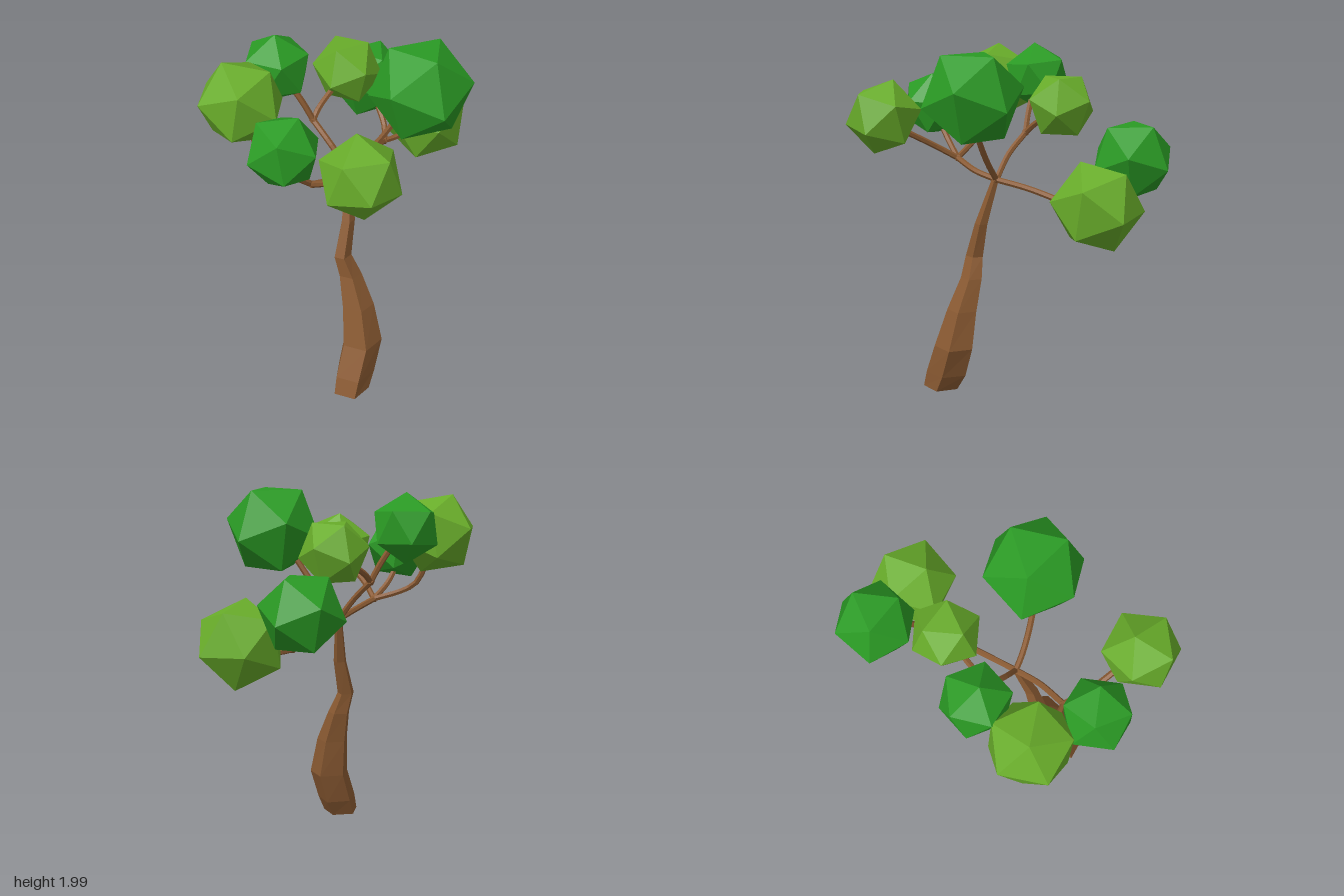
import * as THREE from 'three';

const flat = (color) => new THREE.MeshStandardMaterial({ color, flatShading: true });
const V = (p) => new THREE.Vector3(...p);

export function createModel() {
  const tree = new THREE.Group();
  tree.name = 'tree';
  const bark = flat(0x8a5a32), lightLeaf = flat(0x68ac2a), darkLeaf = flat(0x2a9a24);

  const add = (name, geometry, material) => {
    const mesh = new THREE.Mesh(geometry, material);
    mesh.name = name;
    tree.add(mesh);
    return mesh;
  };

  // Trunk: five-sided sections [y, centre x, centre z, half width, half depth], top to bottom
  const sections = [
    [1.26, 0.025, 0.11, 0.02, 0.02],
    [1.0, 0.055, 0.185, 0.036, 0.036],
    [0.8, 0.045, 0.24, 0.046, 0.05],
    [0.68, 0.085, 0.23, 0.062, 0.06],
    [0.5, 0.14, 0.253, 0.09, 0.083],
    [0.28, 0.18, 0.283, 0.11, 0.11],
    [0.1, 0.165, 0.352, 0.108, 0.117],
    [0, 0.16, 0.4, 0.1, 0.1],
  ];
  const last = sections.length - 1;
  const trunk = new THREE.CylinderGeometry(1, 1, 1, 5, last, false, Math.PI / 5);
  const pos = trunk.attributes.position;
  for (let i = 0; i < pos.count; i++) {
    const [y, cx, cz, rx, rz] = sections[Math.round((0.5 - pos.getY(i)) * last)];
    pos.setXYZ(i, cx + rx * pos.getX(i) / 0.951, y, cz + rz * (pos.getZ(i) + 0.095) / 0.905);
  }
  trunk.computeVertexNormals();
  add('trunk', trunk, bark);

  // Branches: curved tubes between forks and foliage
  const crown = [0.025, 1.26, 0.105], frontFork = [-0.045, 1.34, 0.43];
  const rightFork = [-0.2, 1.5, 0.06], backFork = [0.04, 1.18, -0.4];
  const branches = {
    frontBranch: [crown, [0.01, 1.29, 0.26], frontFork],
    frontRightTwig: [frontFork, [-0.22, 1.4, 0.455], [-0.3, 1.45, 0.46], [-0.38, 1.6, 0.45]],
    frontMiddleTwig: [frontFork, [-0.09, 1.43, 0.53], [-0.11, 1.52, 0.6]],
    frontLeftTwig: [frontFork, [0.06, 1.42, 0.52], [0.24, 1.53, 0.62]],
    leftBranch: [crown, [0.09, 1.34, 0.105], [0.19, 1.47, 0.09], [0.3, 1.64, 0.06]],
    rightBranch: [crown, [-0.08, 1.39, 0.095], rightFork],
    rightTwig: [rightFork, [-0.25, 1.6, 0.075], [-0.32, 1.71, 0.09]],
    rightBackTwig: [rightFork, [-0.19, 1.55, 0], [-0.15, 1.63, -0.14]],
    backBranch: [crown, [0.03, 1.235, -0.12], backFork],
    backRightTwig: [backFork, [0.01, 1.23, -0.48], [-0.08, 1.34, -0.57]],
    backLeftTwig: [backFork, [0.08, 1.175, -0.47], [0.14, 1.19, -0.56]],
  };
  for (const [name, points] of Object.entries(branches)) {
    const curve = new THREE.CatmullRomCurve3(points.map(V));
    add(name, new THREE.TubeGeometry(curve, 8, 0.017, 6), bark);
  }
  for (const p of [crown, frontFork, rightFork, backFork]) {
    add('forkKnot', new THREE.IcosahedronGeometry(0.023, 0), bark).position.set(...p);
  }

  // Foliage: each icosahedron is turned so that two neighbouring corners point along a and b
  const foliage = (name, material, radius, centre, a, b) => {
    const va = V(a).normalize(), vb = V(b).normalize();
    const mid = va.clone().add(vb).normalize();
    const edge = va.clone().sub(vb).normalize();
    const side = new THREE.Vector3().crossVectors(edge, mid);
    const mesh = add(name, new THREE.IcosahedronGeometry(radius, 0), material);
    mesh.quaternion.setFromRotationMatrix(new THREE.Matrix4().makeBasis(side, edge, mid));
    mesh.position.set(...centre);
  };
  foliage('backRightFoliage', darkLeaf, 0.23, [-0.16, 1.43, -0.655], [0.01, -0.04, -0.225], [0.2, 0.04, -0.07]);
  foliage('backLeftFoliage', lightLeaf, 0.248, [0.205, 1.24, -0.655], [0.02, 0.24, 0.085], [0, 0.21, -0.17]);
  foliage('middleFoliage', lightLeaf, 0.193, [-0.12, 1.69, -0.23], [0.015, 0.035, -0.18], [0.18, -0.035, -0.075]);
  foliage('leftFoliage', darkLeaf, 0.278, [0.385, 1.772, 0], [0.26, 0.05, -0.08], [0.075, -0.05, -0.26]);
  foliage('rightFoliage', darkLeaf, 0.195, [-0.39, 1.8, 0.1], [-0.03, 0.19, 0.03], [0.18, 0.05, -0.05]);
  foliage('frontRightFoliage', lightLeaf, 0.236, [-0.435, 1.745, 0.43], [0.22, -0.05, 0.06], [0.148, 0.19, -0.05]);
  foliage('frontMiddleFoliage', darkLeaf, 0.2, [-0.105, 1.635, 0.635], [0.19, 0.03, 0.037], [0.074, 0.185, -0.037]);
  foliage('frontLeftFoliage', lightLeaf, 0.217, [0.32, 1.605, 0.67], [0.2, -0.075, -0.04], [0.164, 0.143, 0.04]);

  return tree;
}
